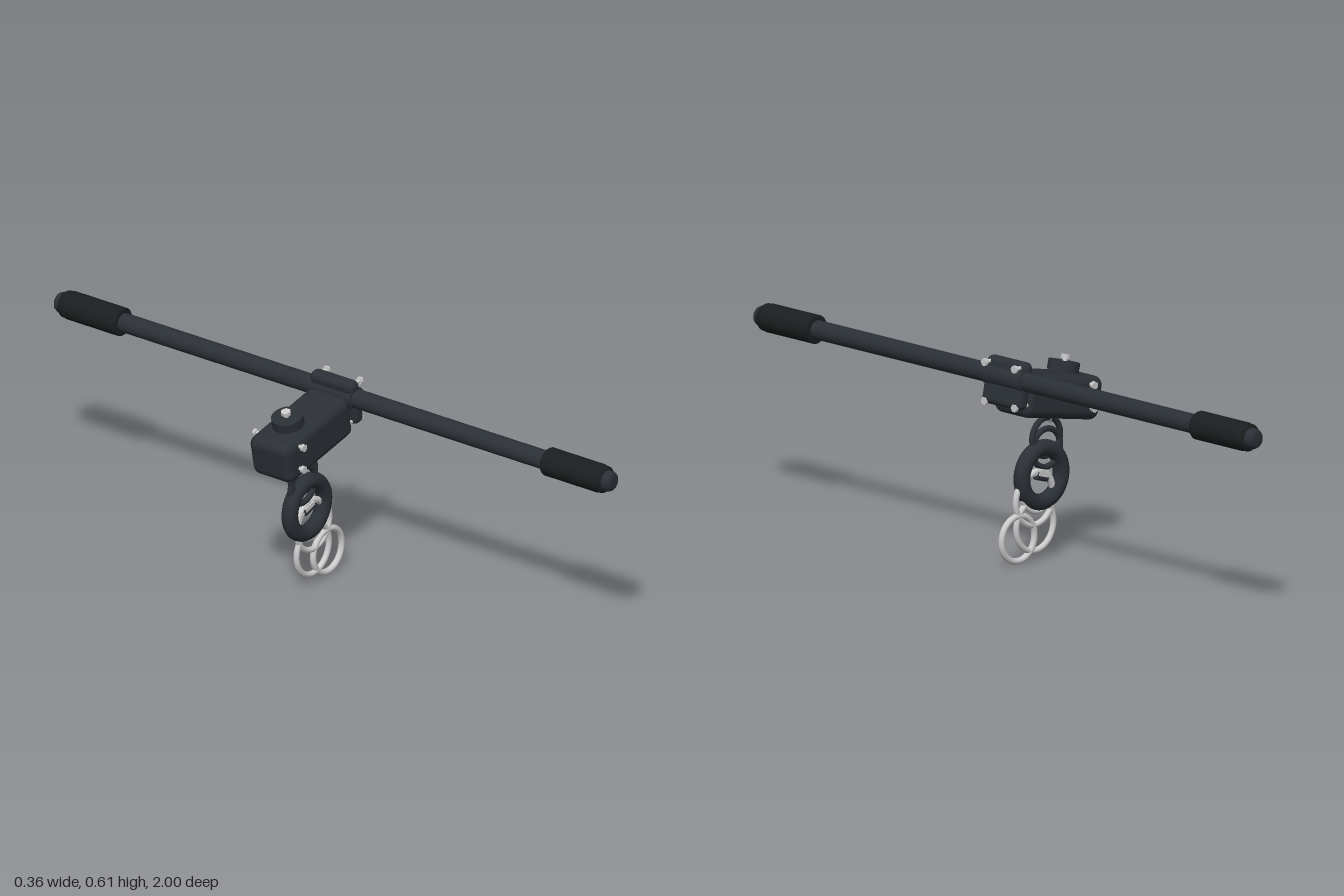
import * as THREE from 'three';
import { RoundedBoxGeometry } from 'three/addons/geometries/RoundedBoxGeometry.js';

const material = (color) => new THREE.MeshStandardMaterial({ color });

export function createModel() {
  const model = new THREE.Group();
  const dark = material(0x2b3036);
  const rubber = material(0x1b1e1f);
  const metal = material(0xcccccc);
  const TILT = 0.2;
  const BAR_X = 0.139, BAR_Y = 0.558;

  function add(name, geometry, mat, x, y, z, parent = model) {
    const mesh = new THREE.Mesh(geometry, mat);
    mesh.name = name;
    mesh.position.set(x, y, z);
    parent.add(mesh);
    return mesh;
  }

  // Hex bolt pointing along +y: shank below, head on top (head base at y = 0)
  function bolt(name, radius, headHeight, shank) {
    const group = new THREE.Group();
    group.name = name;
    add('boltHead', new THREE.CylinderGeometry(radius, radius, headHeight, 6).toNonIndexed(), metal, 0, headHeight / 2, 0, group);
    add('boltShank', new THREE.CylinderGeometry(radius * 0.5, radius * 0.5, shank, 16), metal, 0, -shank / 2, 0, group);
    model.add(group);
    return group;
  }

  // Handlebar tube
  add('handlebar', new THREE.CylinderGeometry(0.028, 0.028, 1.9, 40), dark, BAR_X, BAR_Y, 0).rotation.x = Math.PI / 2;

  // Grips and end plugs
  const gripProfile = [[0.028, 0.765], [0.04, 0.765], [0.042, 0.768], [0.042, 0.952],
    [0.04, 0.956], [0.04, 0.968], [0.036, 0.975], [0.028, 0.975]];
  const plugProfile = [[0.03, 0.96], [0.03, 0.988], [0.026, 0.996], [0.018, 1], [0, 1]];
  const lathe = (points) => new THREE.LatheGeometry(points.map(([r, y]) => new THREE.Vector2(r, y)), 40);
  for (const s of [1, -1]) {
    const end = new THREE.Group();
    end.name = s > 0 ? 'frontGrip' : 'backGrip';
    end.position.set(BAR_X, BAR_Y, 0);
    end.rotation.x = s * Math.PI / 2;
    add('gripSleeve', lathe(gripProfile), rubber, 0, 0, 0, end);
    add('endPlug', lathe(plugProfile), dark, 0, 0, 0, end);
    model.add(end);
  }

  // Stem body
  add('stem', new RoundedBoxGeometry(0.305, 0.127, 0.145, 6, 0.027), dark, -0.024, 0.48, 0).rotation.z = TILT;

  // Clamp plate and the sleeve around the bar
  add('clampPlate', new RoundedBoxGeometry(0.043, 0.14, 0.156, 5, 0.018), dark, 0.142, 0.543, 0).rotation.z = TILT;
  add('clampSleeve', new THREE.CylinderGeometry(0.033, 0.033, 0.15, 32), dark, BAR_X, BAR_Y, 0).rotation.x = Math.PI / 2;

  // Bolts of the clamp plate and of the stem sides
  for (const s of [1, -1]) {
    for (const y of [0.598, 0.484]) {
      const b = bolt('clampBolt', 0.012, 0.009, 0.045);
      b.position.set(0.168, y, s * 0.06);
      b.rotation.z = -Math.PI / 2;
    }
    for (const y of [0.502, 0.434]) {
      const b = bolt('stemBolt', 0.012, 0.01, 0.02);
      b.position.set(-0.122, y, s * 0.081);
      b.rotation.x = s * Math.PI / 2;
    }
  }

  // Round top cap with its neck and bolt
  const cap = new THREE.Group();
  cap.name = 'topCap';
  cap.position.set(-0.085, 0.551, 0);
  cap.rotation.z = 0.25;
  add('capDisc', new THREE.CylinderGeometry(0.046, 0.046, 0.029, 40), dark, 0, 0, 0, cap);
  add('capNeck', new THREE.CylinderGeometry(0.024, 0.024, 0.05, 24), dark, 0, -0.03, 0, cap);
  model.add(cap);
  const capBolt = bolt('capBolt', 0.015, 0.011, 0.02);
  capBolt.position.set(-0.092, 0.572, 0);
  capBolt.rotation.z = 0.25;

  // Small metal wedge below the stem
  const wedge = add('wedge', new THREE.ConeGeometry(0.018, 0.03, 4), metal, -0.03, 0.404, 0);
  wedge.rotation.z = Math.PI - 0.5;

  // Hanging rings: [name, x, y, ring radius, tube radius, material]
  const rings = [
    ['upperSpacerRing', -0.015, 0.356, 0.056, 0.009, dark],
    ['lowerSpacerRing', -0.015, 0.323, 0.056, 0.009, dark],
    ['thickRing', 0.004, 0.247, 0.079, 0.024, dark],
    ['metalRing1', 0.02, 0.202, 0.059, 0.009, metal],
    ['metalRing2', 0.033, 0.18, 0.075, 0.009, metal],
    ['metalRing3', 0.031, 0.104, 0.075, 0.009, metal],
    ['metalRing4', 0.099, 0.0765, 0.066, 0.0095, metal],
  ];
  for (const [name, x, y, radius, tube, mat] of rings) {
    add(name, new THREE.TorusGeometry(radius, tube, 16, 64), mat, x, y, 0);
  }

  // Small tilted lug in the middle of the thick ring
  add('lug', new RoundedBoxGeometry(0.05, 0.026, 0.022, 3, 0.006), dark, 0.005, 0.243, 0).rotation.z = 0.3;
  add('lugPlate', new THREE.BoxGeometry(0.04, 0.014, 0.026), metal, 0.004, 0.25, 0).rotation.z = 0.3;

  return model;
}
